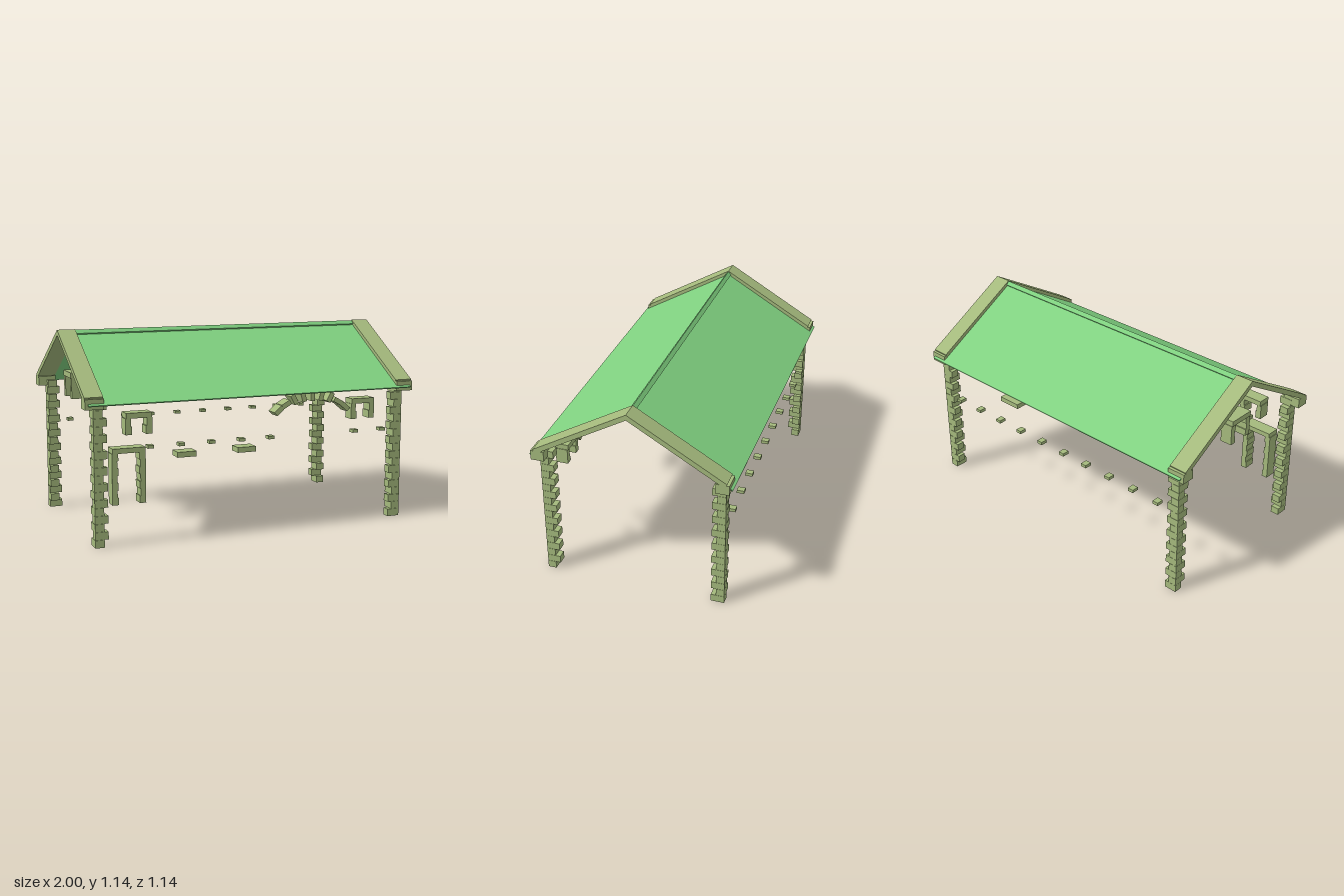
import * as THREE from 'three';

export function createModel() {
  const model = new THREE.Group();
  const stone = new THREE.MeshStandardMaterial({ color: 0xa4b97c });
  stone.name = 'pale stone';
  const green = new THREE.MeshStandardMaterial({ color: 0x80d180 });
  green.name = 'roof green';

  const part = (name, parent = model) => {
    const g = new THREE.Group();
    g.name = name;
    parent.add(g);
    return g;
  };
  // Box given by its lower and upper limits
  const block = (parent, name, x0, x1, y0, y1, z0, z1) => {
    const m = new THREE.Mesh(new THREE.BoxGeometry(x1 - x0, y1 - y0, z1 - z0), stone);
    m.position.set((x0 + x1) / 2, (y0 + y1) / 2, (z0 + z1) / 2);
    m.name = name;
    parent.add(m);
    return m;
  };
  // Profile in (z, y) extruded along x
  const alongX = (name, pts, x0, x1, material) => {
    const shape = new THREE.Shape(pts.map(([z, y]) => new THREE.Vector2(-z, y)));
    const geo = new THREE.ExtrudeGeometry(shape, { depth: x1 - x0, bevelEnabled: false });
    geo.rotateY(Math.PI / 2);
    const m = new THREE.Mesh(geo, material);
    m.position.x = x0;
    m.name = name;
    model.add(m);
  };

  // Roof slopes and ridge
  for (const s of [1, -1]) {
    alongX(s > 0 ? 'frontRoof' : 'backRoof',
      [[0, 1.122], [s * 0.57, 0.789], [s * 0.568, 0.783], [0, 1.115]], -0.983, 0.983, green);
  }
  alongX('ridge', [[0, 1.142], [0.018, 1.122], [0, 1.1], [-0.018, 1.122]], -0.9, 0.9, green);

  // Gable copings with kneeler stones at the eaves
  for (const x0 of [-1, 0.895]) {
    const x1 = x0 + 0.105;
    for (const s of [1, -1]) {
      alongX('coping', [[-s * 0.012, 1.138], [0, 1.145], [s * 0.543, 0.83], [s * 0.53, 0.804], [0, 1.113]],
        x0, x1, stone);
      const z = [s * 0.48, s * 0.556].sort((a, b) => a - b);
      block(model, 'kneeler', x0, x1, 0.765, 0.822, ...z);
    }
  }

  // Corner columns of alternating quoins
  const courses = 18, h = 0.8 / courses;
  for (const sx of [1, -1]) for (const sz of [1, -1]) {
    const column = part('cornerQuoins');
    for (let i = 0; i < courses; i++) {
      const long = (i % 2 === 0) === (sx * sz > 0);
      const w = long ? 0.075 : 0.052, d = long ? 0.048 : 0.077;
      const q = block(column, 'quoin', 0, w, i * h + 0.0006, (i + 1) * h - 0.0006, 0, d);
      q.position.x = sx * (0.948 - w / 2);
      q.position.z = sz * (0.526 - d / 2);
    }
  }

  // Opening surround: a lintel over two toothed jambs, built about local x = 0
  const surround = (name, width, y0, yLintel, y1, stones) => {
    const g = part(name);
    block(g, 'lintel', -width / 2, width / 2, yLintel, y1, -0.04, 0.04);
    const step = (yLintel - y0) / stones;
    for (const s of [1, -1]) for (let i = 0; i < stones; i++) {
      const w = i % 2 ? 0.03 : 0.036;
      const j = block(g, 'jambStone', 0, w, y0 + i * step, y0 + (i + 1) * step, -0.034, 0.036);
      j.position.x = s * (width / 2 + 0.003 - w / 2);
    }
    return g;
  };
  surround('door', 0.186, 0.228, 0.512, 0.54, 7).position.set(-0.75, 0, 0.482);
  for (const s of [1, -1])
    surround('upperWindow', 0.146, 0.61, 0.7, 0.73, 2).position.set(s * 0.69, 0, 0.482);
  const gable = surround('gableWindow', 0.16, 0.757, 0.875, 0.906, 3);
  gable.position.x = -0.908;
  gable.rotation.y = -Math.PI / 2;

  // Wide arch of splayed stones: offset from centre, height, tilt in degrees
  const arch = part('archStones');
  for (const [dx, y, tilt] of [[0, 0.762, 90], [0.058, 0.759, 75], [0.115, 0.747, 60],
    [0.166, 0.721, 38], [0.212, 0.688, 15]]) {
    for (const s of dx ? [1, -1] : [1]) {
      const v = block(arch, 'voussoir', -0.029, 0.029, -0.014, 0.014, -0.04, 0.04);
      v.position.set(0.36 + s * dx, y, 0.482);
      v.rotation.z = -s * THREE.MathUtils.degToRad(180 - tilt) + (dx ? 0 : Math.PI);
      // Lower stones lean down towards the springing
      if (dx) v.rotation.z = s * THREE.MathUtils.degToRad(dx > 0.14 ? -(90 - tilt) * 0.55 : tilt);
    }
  }

  // Window sills
  for (const x of [-0.415, -0.055])
    block(model, 'frontSill', x - 0.056, x + 0.056, 0.465, 0.495, 0.44, 0.525);
  block(model, 'backSill', 0.285, 0.427, 0.684, 0.712, -0.525, -0.437);

  // Rows of small projecting stones
  const studs = part('projectingStones');
  for (let i = 0; i < 10; i++) {
    const x = -0.8 + i * 0.1778;
    block(studs, 'backStud', x - 0.018, x + 0.018, 0.532, 0.55, -0.542, -0.5);
    if (i > 0 && i !== 6 && i !== 7) {
      const fx = x * 1.015;
      block(studs, 'frontStud', fx - 0.018, fx + 0.018, 0.532, 0.55, 0.5, 0.542);
    }
  }
  return model;
}
